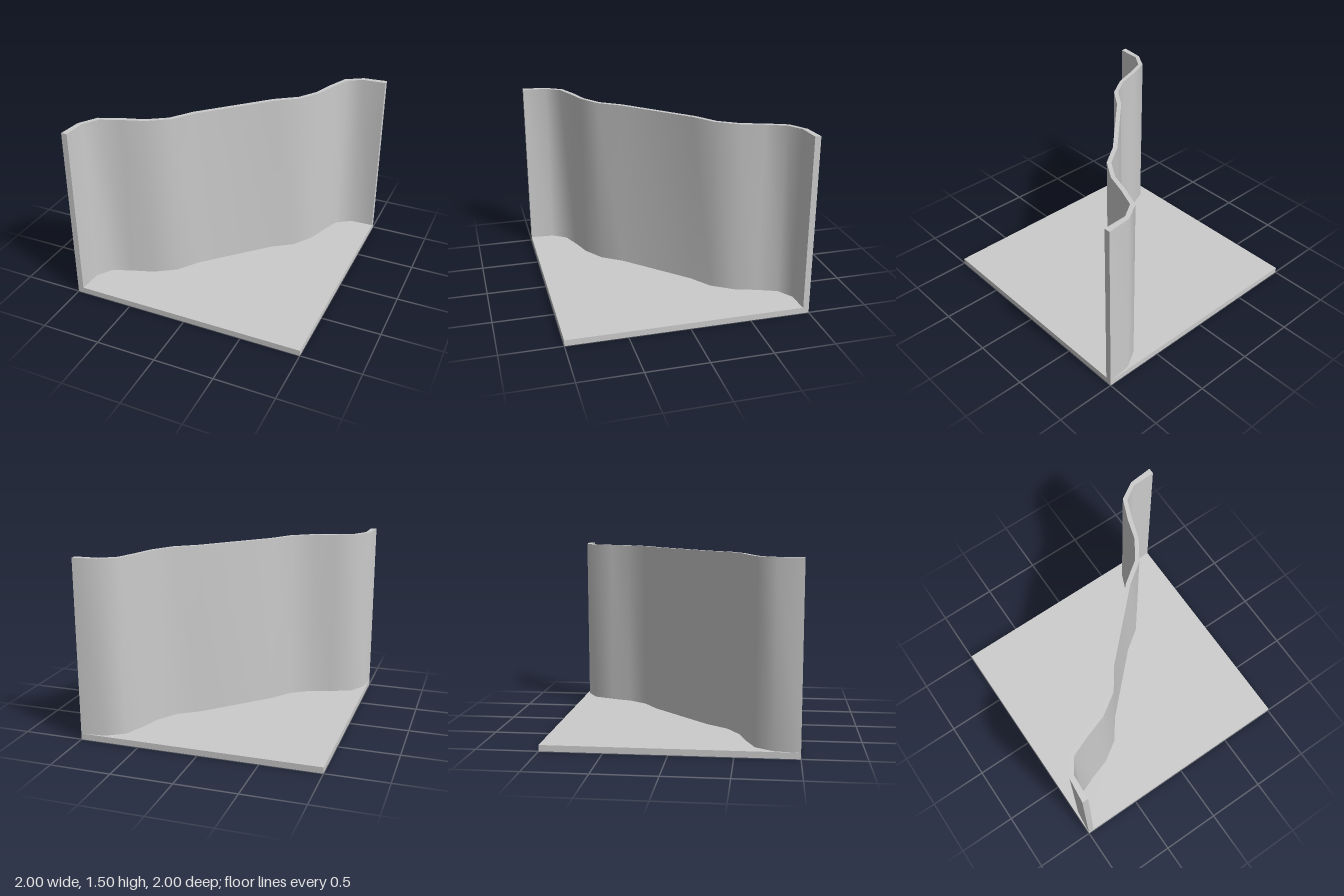
import * as THREE from 'three';
import { toCreasedNormals } from 'three/addons/utils/BufferGeometryUtils.js';

const BASE = 0.05, HEIGHT = 1.5;

// Half of each wall face as [x, z]; the other half is its reflection in x = z.
const backHalf = [[1, -1], [0.8, -0.98], [0.655, -0.89], [0.58, -0.71], [0.525, -0.535], [0.42, -0.375], [0.245, -0.25]];
const frontHalf = [[1, -0.95], [0.8, -0.94], [0.68, -0.86], [0.615, -0.7], [0.555, -0.52], [0.44, -0.345], [0.265, -0.22]];

const mirrored = half => [...half, ...half.map(([x, z]) => [z, x]).reverse()];

export function createModel() {
  const model = new THREE.Group();
  model.name = 'wavyWallOnBase';
  const material = new THREE.MeshStandardMaterial({ color: 0xcccccc });

  // Square floor slab
  const base = new THREE.Mesh(new THREE.BoxGeometry(2, BASE, 2), material);
  base.name = 'base';
  base.position.y = BASE / 2;
  model.add(base);

  // Thin wavy wall running diagonally between two corners
  const outline = [...mirrored(backHalf), ...mirrored(frontHalf).reverse()];
  const shape = new THREE.Shape(outline.map(([x, z]) => new THREE.Vector2(x, -z)));
  const wallGeometry = new THREE.ExtrudeGeometry(shape, { depth: HEIGHT - BASE, bevelEnabled: false });
  wallGeometry.rotateX(-Math.PI / 2);
  const wall = new THREE.Mesh(toCreasedNormals(wallGeometry, 0.9), material);
  wall.name = 'wavyWall';
  wall.position.y = BASE;
  model.add(wall);

  return model;
}
